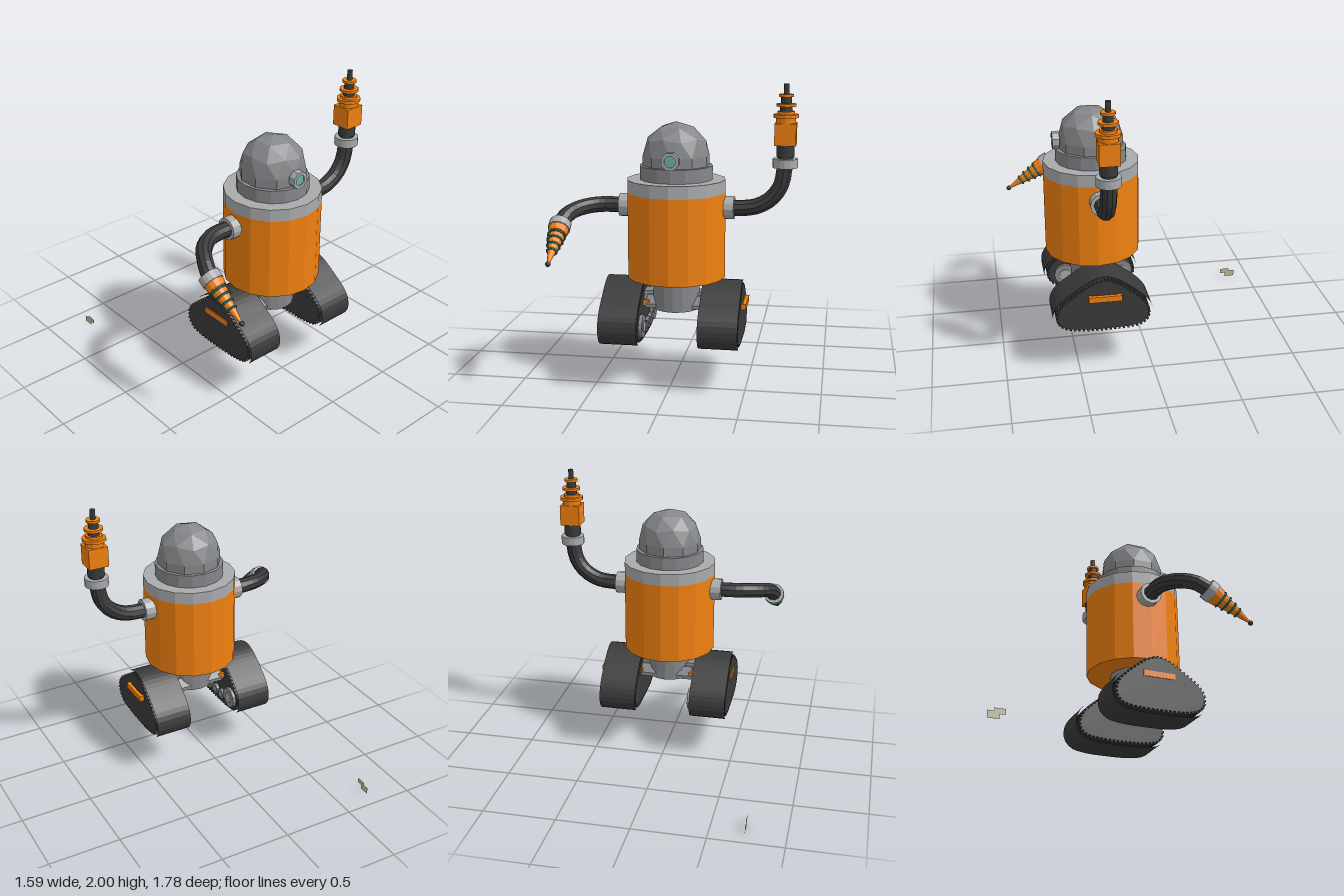
import * as THREE from 'three';

const mat = (color, side = THREE.FrontSide) => new THREE.MeshStandardMaterial({ color, flatShading: true, side });
const ORANGE = mat(0xf08010), GREY = mat(0x85878a), LIGHT = mat(0xa8aaac), DARK = mat(0x3a3a3a);
const TEAL = mat(0x1f8a80), LENS = mat(0x6cb0a6), PALE = mat(0xbcbc98, THREE.DoubleSide);
const CX = 0.0185, CZ = 0.344; // body axis

function add(parent, name, geo, material, x = 0, y = 0, z = 0) {
  const m = new THREE.Mesh(geo, material);
  m.name = name;
  m.position.set(x, y, z);
  parent.add(m);
  return m;
}

// Turned part between heights y0 and y1
function turn(parent, name, material, y0, y1, r0, r1 = r0, sides = 16) {
  return add(parent, name, new THREE.CylinderGeometry(r1, r0, y1 - y0, sides), material, 0, (y0 + y1) / 2, 0);
}

// Cylinder lying along x from x0 to x1
function rod(parent, name, material, x0, x1, y, z, r, sides = 12) {
  const geo = new THREE.CylinderGeometry(r, r, x1 - x0, sides).rotateZ(Math.PI / 2);
  return add(parent, name, geo, material, (x0 + x1) / 2, y, z);
}

// Side profile in (z, y), extruded along x from x0 to x1
function slab(parent, name, material, shape, x0, x1) {
  const geo = new THREE.ExtrudeGeometry(shape, { depth: x1 - x0, bevelEnabled: false }).rotateY(-Math.PI / 2);
  return add(parent, name, geo, material, x1, 0, 0);
}

const poly = pts => new THREE.Shape(pts.map(p => new THREE.Vector2(...p)));

// Belt outline with square cleats outside and a smooth opening inside
function beltShape() {
  const path = new THREE.CatmullRomCurve3([
    [0.323, 0.683], [0.397, 0.664], [0.508, 0.595], [0.617, 0.511], [0.651, 0.447], [0.646, 0.378],
    [0.603, 0.331], [0.508, 0.307], [0.323, 0.299], [0.138, 0.306], [0.058, 0.327], [0.019, 0.373],
    [0.016, 0.437], [0.046, 0.5], [0.148, 0.595], [0.249, 0.664],
  ].map(([z, y]) => new THREE.Vector3(z, y, 0)), true);
  const at = (u, off) => {
    const p = path.getPointAt(u % 1), t = path.getTangentAt(u % 1);
    return new THREE.Vector2(p.x - t.y * off, p.y + t.x * off);
  };
  const outer = [], inner = [], n = 54;
  for (let i = 0; i < n; i++) {
    const a = i / n, b = (i + 0.55) / n;
    outer.push(at(a, 0), at(a, -0.014), at(b, -0.014), at(b, 0));
    inner.push(at(a, 0.02));
  }
  const shape = new THREE.Shape(outer);
  shape.holes.push(new THREE.Path(inner));
  return shape;
}

function addTrack(root, name, x0, x1, w0, w1, b0) {
  const g = new THREE.Group();
  g.name = name;
  root.add(g);
  slab(g, 'belt', DARK, beltShape(), x0, x1);
  const wheels = [[0.524, 0.417, 0.078], [0.111, 0.417, 0.076],
    [0.407, 0.384, 0.04], [0.317, 0.384, 0.04], [0.228, 0.384, 0.04]];
  for (const [z, y, r] of wheels) {
    rod(g, 'wheel', GREY, w0, w1, y, z, r);
    rod(g, 'wheelHub', LIGHT, w0 - 0.006, w1 + 0.006, y, z, r * 0.53);
  }
  rod(g, 'topPivot', GREY, x0 + 0.03, x1 - 0.03, 0.597, 0.323, 0.06);
  rod(g, 'topPivotCap', LIGHT, x0 + 0.02, x1 - 0.02, 0.597, 0.323, 0.038);
  // Rectangular bracket around the pivot
  const b1 = b0 + 0.305;
  for (const x of [b0 + 0.0125, b1 - 0.0125])
    add(g, 'bracketEnd', new THREE.BoxGeometry(0.025, 0.04, 0.224), ORANGE, x, 0.55, 0.322);
  for (const z of [0.222, 0.422])
    add(g, 'bracketSide', new THREE.BoxGeometry(0.3, 0.038, 0.024), ORANGE, (b0 + b1) / 2, 0.55, z);
}

function addArm(root, name, points) {
  const curve = new THREE.CatmullRomCurve3(points.map(p => new THREE.Vector3(...p)));
  add(root, name, new THREE.TubeGeometry(curve, 12, 0.053, 10), DARK);
}

// Tool group whose y axis points along dir
function tool(root, name, pos, dir) {
  const g = new THREE.Group();
  g.name = name;
  g.position.set(...pos);
  g.quaternion.setFromUnitVectors(new THREE.Vector3(0, 1, 0), new THREE.Vector3(...dir).normalize());
  root.add(g);
  return g;
}

export function createModel() {
  const root = new THREE.Group();
  root.name = 'trackedRobot';

  // Torso, collar and head on one axis
  const body = tool(root, 'body', [CX, 0, CZ], [0, 1, 0]);
  turn(body, 'waist', GREY, 0.51, 0.74, 0.157);
  turn(body, 'torso', ORANGE, 0.727, 1.294, 0.325);
  turn(body, 'torsoCollar', LIGHT, 1.294, 1.378, 0.325);
  turn(body, 'headRing', GREY, 1.37, 1.468, 0.24);
  turn(body, 'headSkirt', GREY, 1.46, 1.532, 0.22, 0.22, 10);
  const dome = new THREE.IcosahedronGeometry(0.22, 1).rotateZ(-Math.atan(2 / (1 + Math.sqrt(5))));
  add(body, 'headDome', dome, GREY, 0, 1.532, 0);

  // Eye
  const eye = tool(root, 'eye', [CX, 1.522, 0], [0, 0, 1]);
  turn(eye, 'eyeBarrel', GREY, 0.45, 0.565, 0.045, 0.045, 8);
  const rim = new THREE.LatheGeometry([[0.038, 0.585], [0.038, 0.603], [0.06, 0.603], [0.06, 0.555], [0.03, 0.555]]
    .map(p => new THREE.Vector2(...p)).reverse(), 8);
  add(eye, 'eyeRim', rim, LIGHT).rotation.y = Math.PI / 8;
  turn(eye, 'eyeLens', LENS, 0.55, 0.594, 0.039, 0.039, 8).rotation.y = Math.PI / 8;

  // Undercarriage
  slab(root, 'axle', GREY, poly([[0.44, 0.52], [0.44, 0.545], [0.4, 0.6], [0.25, 0.6], [0.205, 0.545], [0.205, 0.52]]), -0.17, 0.205);
  slab(root, 'axleCore', GREY, poly([[0.4, 0.53], [0.375, 0.62], [0.27, 0.62], [0.245, 0.53]]), -0.4, 0.42);
  addTrack(root, 'rightTrack', -0.45, -0.193, -0.42, -0.171, -0.455);
  addTrack(root, 'leftTrack', 0.202, 0.463, 0.225, 0.44, 0.19);

  // Shoulders and arms
  rod(root, 'rightShoulder', LIGHT, -0.362, -0.27, 1.19, 0.323, 0.077);
  rod(root, 'leftShoulder', LIGHT, 0.31, 0.4, 1.19, 0.323, 0.077);
  addArm(root, 'leftArm', [[0.36, 1.19, 0.323], [0.45, 1.19, 0.323], [0.54, 1.203, 0.323], [0.635, 1.255, 0.323],
    [0.7, 1.345, 0.323], [0.725, 1.48, 0.323]]);
  addArm(root, 'rightArm', [[-0.33, 1.19, 0.323], [-0.5, 1.19, 0.335], [-0.615, 1.175, 0.405], [-0.68, 1.145, 0.5],
    [-0.71, 1.09, 0.58]]);

  // Raised tool: cuff, box and stepped rod
  const torch = tool(root, 'torch', [0.725, 0, 0.323], [0, 1, 0]);
  turn(torch, 'cuff', LIGHT, 1.463, 1.522, 0.081);
  turn(torch, 'toolNeck', DARK, 1.51, 1.54, 0.05);
  turn(torch, 'toolNeckRib', DARK, 1.535, 1.61, 0.058);
  add(torch, 'toolBox', new THREE.BoxGeometry(0.138, 0.142, 0.132), ORANGE, 0, 1.68, 0);
  for (const [n, m, y0, y1, r] of [
    ['toolShoulder', ORANGE, 1.75, 1.785, 0.064], ['largeFlange', ORANGE, 1.785, 1.807, 0.081],
    ['flangeStep', ORANGE, 1.807, 1.826, 0.056], ['rodBase', DARK, 1.826, 1.858, 0.04],
    ['middleFlange', ORANGE, 1.856, 1.874, 0.064], ['rodMiddle', DARK, 1.874, 1.918, 0.034],
    ['smallFlange', ORANGE, 1.917, 1.934, 0.047], ['rodTip', DARK, 1.93, 2, 0.018]]) turn(torch, n, m, y0, y1, r, r, 12);

  // Lowered tool: cone drill with rings
  const drill = tool(root, 'drill', [-0.708, 1.086, 0.585], [0, -0.535, 0.845]);
  turn(drill, 'cuff', LIGHT, -0.028, 0.03, 0.072);
  turn(drill, 'drillBase', ORANGE, 0.03, 0.08, 0.066, 0.06, 12);
  turn(drill, 'drillCone', ORANGE, 0.08, 0.335, 0.055, 0.008, 12);
  for (const [y, r] of [[0.092, 0.056], [0.137, 0.05], [0.185, 0.041], [0.232, 0.031]])
    add(drill, 'drillRing', new THREE.TorusGeometry(r, 0.007, 6, 12).rotateX(Math.PI / 2), TEAL, 0, y, 0);
  add(drill, 'drillTip', new THREE.IcosahedronGeometry(0.018, 1), DARK, 0, 0.342, 0);

  // Small loose flat plate on the ground
  const plate = poly([[-0.783, 0.066], [-0.852, 0.066], [-0.852, 0.047], [-0.893, 0.047], [-0.893, 0], [-0.82, 0],
    [-0.82, 0.03], [-0.783, 0.03]]);
  add(root, 'loosePlate', new THREE.ShapeGeometry(plate).rotateY(-Math.PI / 2), PALE, -0.73, 0, 0);

  return root;
}
